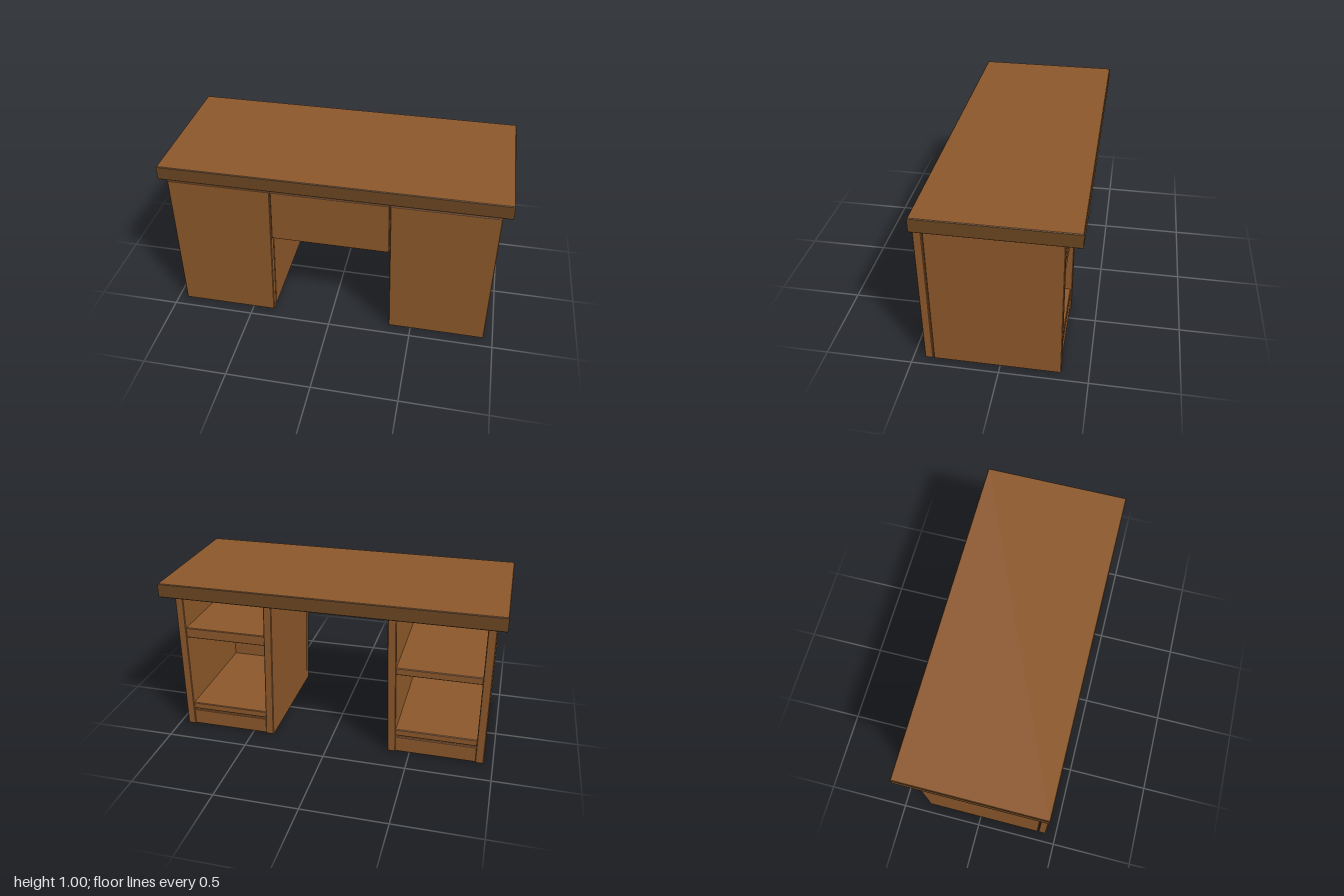
import * as THREE from 'three';

const BEVEL = 0.004;

// Extrudes a closed outline from depth a to depth b with small chamfered edges kept inside the given size
function bevelled(points, a, b) {
  const shape = new THREE.Shape(points.map(([x, y]) => new THREE.Vector2(x, y)));
  const geo = new THREE.ExtrudeGeometry(shape, {
    depth: b - a - 2 * BEVEL, bevelEnabled: true, bevelSegments: 1,
    bevelSize: BEVEL, bevelThickness: BEVEL, bevelOffset: -BEVEL,
  });
  return geo.translate(0, 0, a + BEVEL);
}

export function createModel() {
  const desk = new THREE.Group();
  desk.name = 'desk';
  const wood = new THREE.MeshStandardMaterial({ color: 0x8b572a });
  wood.name = 'wood';
  const edge = new THREE.MeshStandardMaterial({ color: 0x6b4621 });
  edge.name = 'darkEdge';

  const add = (parent, name, geo, material = wood) => {
    const mesh = new THREE.Mesh(geo, material);
    mesh.name = name;
    parent.add(mesh);
  };
  const rect = (x0, x1, y0, y1) => [[x0, y0], [x1, y0], [x1, y1], [x0, y1]];

  // Worktop with a darker edge band
  const top = bevelled(rect(-1, 1, -0.435, 0.435), 0.915, 1);
  add(desk, 'worktop', top.rotateX(-Math.PI / 2), [wood, edge]);

  // Pedestals: the inner sides lean, so each is narrower at the floor
  const OUT = 0.946, IN_LOW = 0.366, IN_HIGH = 0.342, T = 0.05;
  const BACK = -0.345, FRONT = 0.435, SPLIT = 0.385, LOW = 0.003, HIGH = 0.912;
  const pedestals = [
    { side: 1, name: 'leftPedestal', shelf: [0.62, 0.685] },
    { side: -1, name: 'rightPedestal', shelf: [0.53, 0.575] },
  ];
  for (const { side, name, shelf } of pedestals) {
    const pedestal = new THREE.Group();
    pedestal.name = name;
    desk.add(pedestal);
    const part = (partName, pts, z0, z1) =>
      add(pedestal, partName, bevelled(pts.map(([x, y]) => [x * side, y]), z0, z1));

    part('frontPanel', [[IN_LOW, LOW], [OUT, LOW], [OUT, HIGH], [IN_HIGH, HIGH]], SPLIT + 0.002, FRONT);
    part('outerPanel', rect(OUT - T, OUT, LOW, HIGH), BACK, SPLIT - 0.002);
    part('innerPanel', [[IN_LOW, LOW], [IN_LOW + T, LOW], [IN_HIGH + T, HIGH], [IN_HIGH, HIGH]], BACK, SPLIT - 0.002);
    part('upperShelf', rect(0.385, OUT - T + 0.01, ...shelf), BACK + 0.008, SPLIT);
    part('lowerShelf', rect(0.385, OUT - T + 0.01, 0.115, 0.157), BACK + 0.008, SPLIT);
    part('kickBoard', rect(0.395, OUT - T + 0.01, LOW, 0.107), BACK + 0.008, BACK + 0.058);
  }

  // Panel across the knee space
  const kneePanel = [[-0.347, 0.583], [0.347, 0.583], [0.339, HIGH], [-0.339, HIGH]];
  add(desk, 'kneePanel', bevelled(kneePanel, SPLIT + 0.002, FRONT));

  return desk;
}
